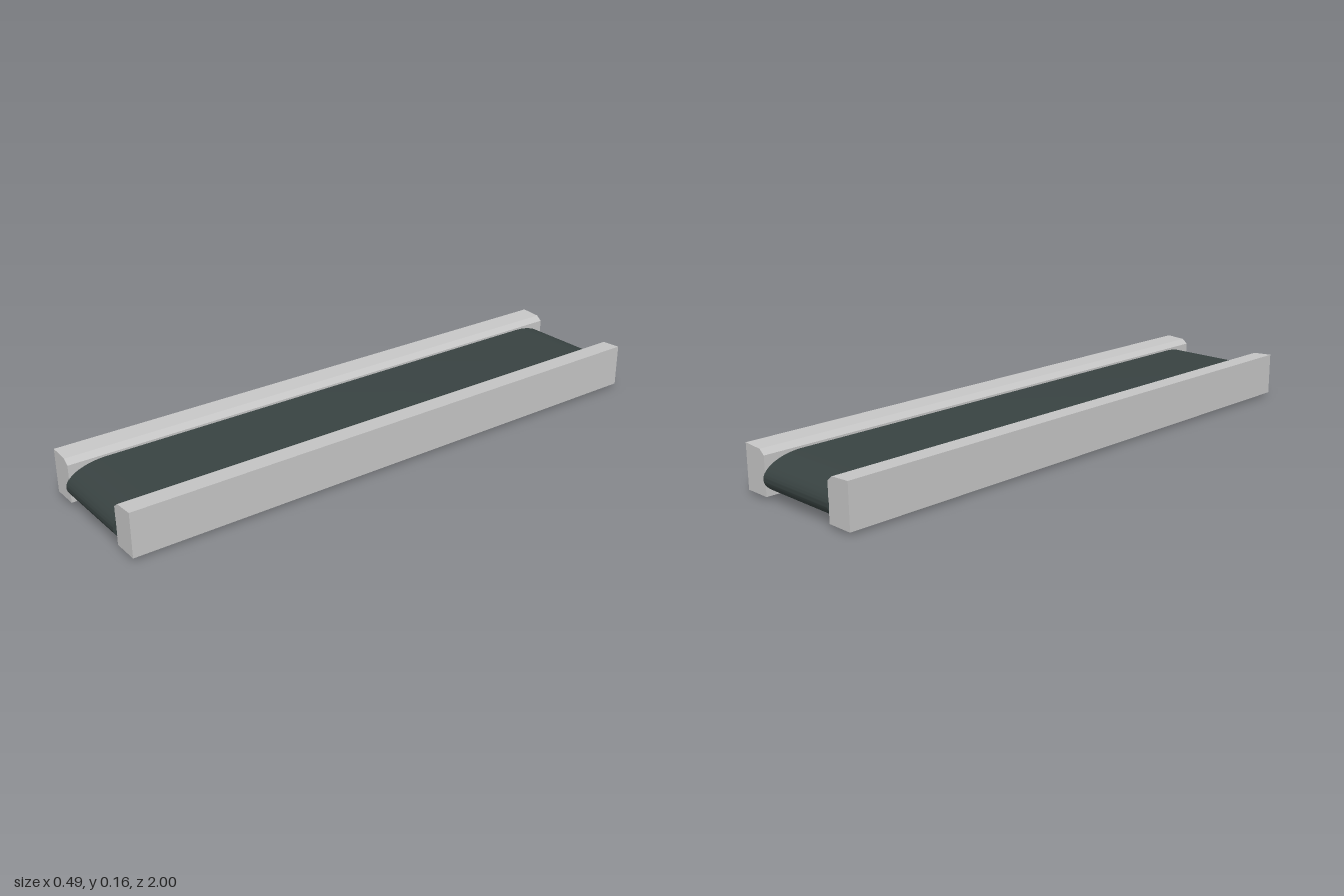
import * as THREE from 'three';
import { toCreasedNormals } from 'three/addons/utils/BufferGeometryUtils.js';

const railGrey = new THREE.MeshStandardMaterial({ color: 0xc4c4c4 });
railGrey.name = 'railGrey';
const beltDark = new THREE.MeshStandardMaterial({ color: 0x384241 });
beltDark.name = 'beltDark';

// Side rail: bevelled cross-section swept along z; side is 1 (left) or -1 (right)
function makeRail(side) {
  const profile = [
    [0.152, 0.01], [0.243, 0.01], [0.243, 0.157], [0.172, 0.153], [0.152, 0.137],
  ].map(([x, y]) => new THREE.Vector2(x * side, y));
  const geometry = new THREE.ExtrudeGeometry(new THREE.Shape(profile), { depth: 1.983, bevelEnabled: false });
  geometry.translate(0, 0, -0.994);
  const rail = new THREE.Mesh(geometry, railGrey);
  rail.name = side > 0 ? 'leftRail' : 'rightRail';
  return rail;
}

// Belt: flat loop with long rounded noses at both ends, swept across x
function makeBelt() {
  const halfWidth = 0.153, halfHeight = 0.065, nose = 0.14;
  const shape = new THREE.Shape();
  shape.moveTo(-1 + nose, 0);
  shape.lineTo(1 - nose, 0);
  shape.absellipse(1 - nose, halfHeight, nose, halfHeight, -Math.PI / 2, Math.PI / 2, false);
  shape.lineTo(-1 + nose, 2 * halfHeight);
  shape.absellipse(-1 + nose, halfHeight, nose, halfHeight, Math.PI / 2, Math.PI * 1.5, false);
  const extruded = new THREE.ExtrudeGeometry(shape, {
    depth: 2 * halfWidth, bevelEnabled: false, curveSegments: 24,
  });
  extruded.translate(0, 0, -halfWidth);
  extruded.rotateY(-Math.PI / 2);
  const belt = new THREE.Mesh(toCreasedNormals(extruded, 0.7), beltDark);
  belt.name = 'belt';
  return belt;
}

export function createModel() {
  const model = new THREE.Group();
  model.name = 'conveyor';
  model.add(makeBelt(), makeRail(1), makeRail(-1));
  return model;
}
